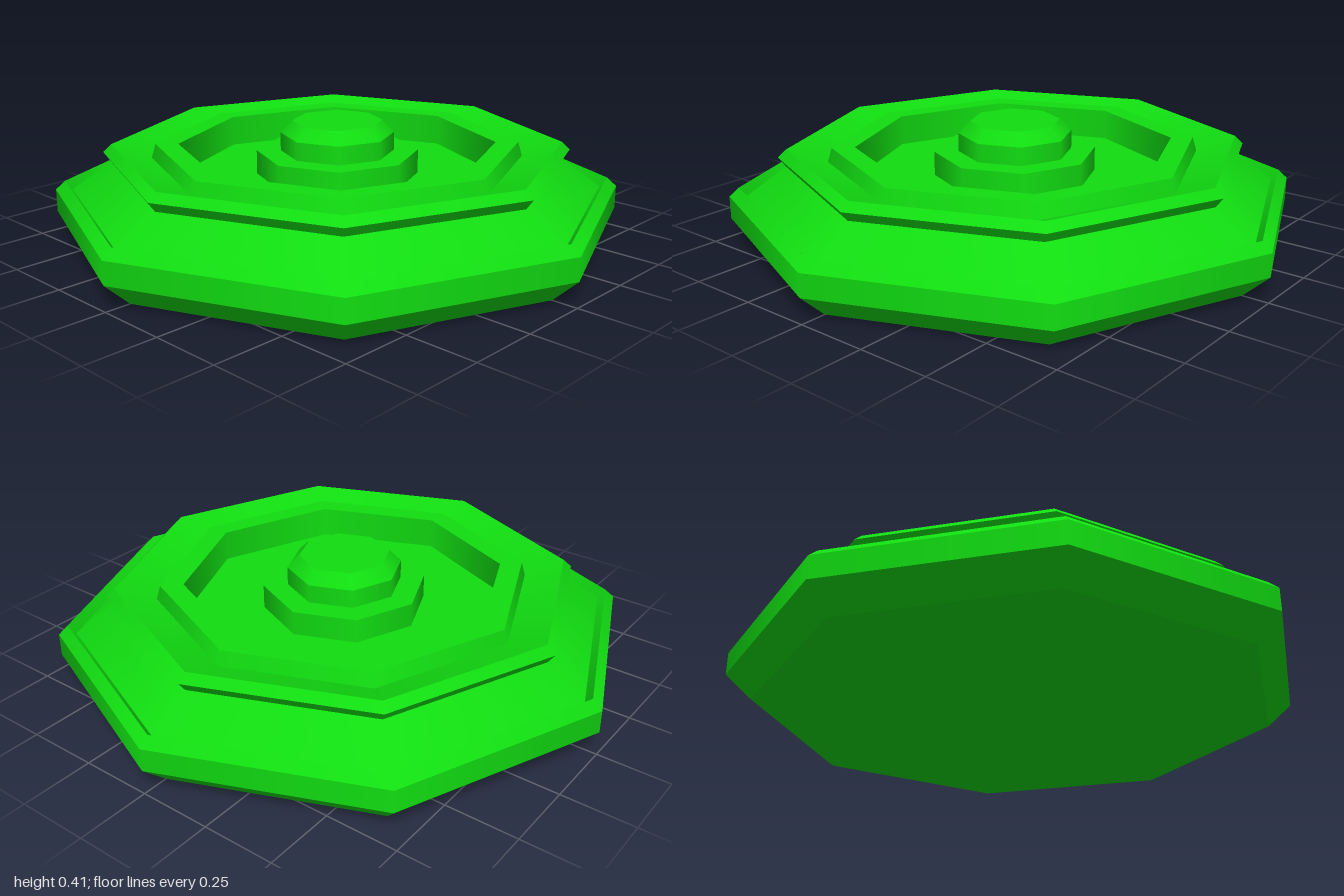
import * as THREE from 'three';
import { mergeGeometries } from 'three/addons/utils/BufferGeometryUtils.js';

const SIDES = 8;

// Eight-sided turning: smooth around the axis, crisp edges along the profile
function turned(name, profile, material) {
  const bands = [];
  for (let i = 0; i < profile.length - 1; i++) {
    const pair = [profile[i], profile[i + 1]].map(([r, y]) => new THREE.Vector2(r, y));
    bands.push(new THREE.LatheGeometry(pair, SIDES));
  }
  const mesh = new THREE.Mesh(mergeGeometries(bands), material);
  mesh.name = name;
  return mesh;
}

export function createModel() {
  const group = new THREE.Group();
  group.name = 'octagonalDisc';
  const green = new THREE.MeshStandardMaterial({ color: 0x11dd11 });

  // Wide base with bevelled rim and a narrow groove inside it
  group.add(turned('base', [
    [0, 0], [0.91, 0], [1, 0.085], [1, 0.165], [0.965, 0.197], [0.94, 0.165],
  ], green));

  // Sloping shoulder rising to an overhanging lip
  group.add(turned('shoulder', [[0.94, 0.165], [0.8, 0.268]], green));
  group.add(turned('lip', [[0.8, 0.268], [0.825, 0.302], [0.795, 0.33], [0.655, 0.28]], green));

  // Raised inner ring around the recessed well
  group.add(turned('innerRing', [[0.655, 0.28], [0.64, 0.33], [0.56, 0.33]], green));
  group.add(turned('well', [[0.56, 0.33], [0.56, 0.22], [0.285, 0.22]], green));

  // Central hub and bevelled knob
  group.add(turned('hub', [[0.285, 0.22], [0.285, 0.305], [0.2, 0.305]], green));
  group.add(turned('knob', [[0.2, 0.305], [0.2, 0.37], [0.158, 0.413], [0, 0.413]], green));

  return group;
}
